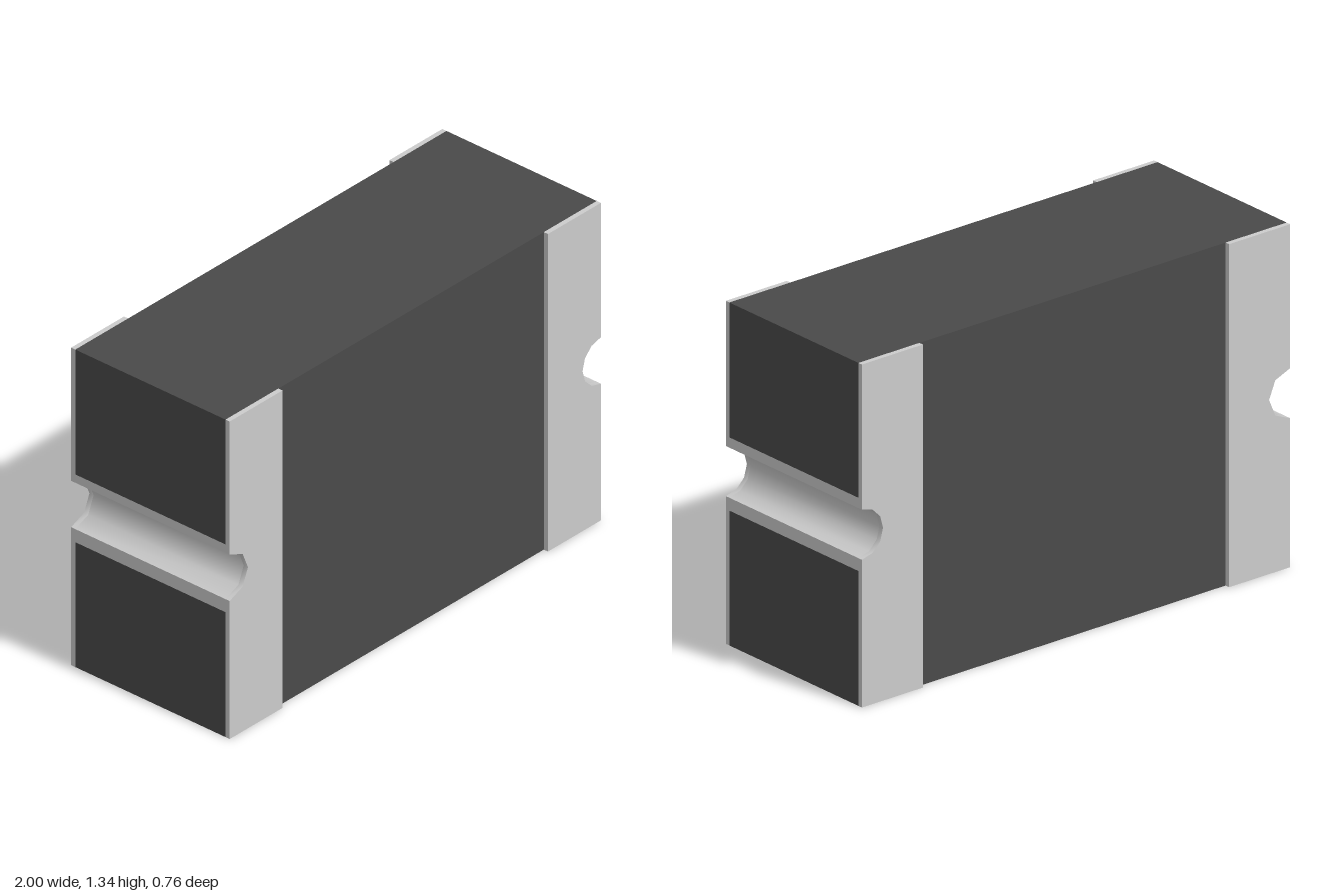
import * as THREE from 'three';
import { toCreasedNormals } from 'three/addons/utils/BufferGeometryUtils.js';

const H = 1.335, BODY_Z = 0.36, PAD_Z = 0.38;
const PAD_IN = 0.715, LINER_IN = 0.86;
const SLOT_LO = 0.525, SLOT_HI = 0.81;

const metal = new THREE.MeshStandardMaterial({ color: 0xcccccc });
const dark = new THREE.MeshStandardMaterial({ color: 0x4a4a4a });

// Extrudes an outline between two z values, smooth along the groove
function slab(name, points, z0, z1, material) {
  const shape = new THREE.Shape(points.map(([x, y]) => new THREE.Vector2(x, y)));
  const extruded = new THREE.ExtrudeGeometry(shape, { depth: z1 - z0, bevelEnabled: false });
  const geometry = toCreasedNormals(extruded.translate(0, 0, z0), 0.9);
  const mesh = new THREE.Mesh(geometry, material);
  mesh.name = name;
  return mesh;
}

// Rectangle whose outer edge (x = side) has a half-round notch
function notchedOutline(side, inner, y0, y1, centreY, segments) {
  const points = [[side * inner, y0], [side, y0]];
  for (let i = 0; i <= segments; i++) {
    const a = (i / segments) * Math.PI;
    points.push([side * (1 - 0.0985 * Math.sin(a)), centreY - 0.0975 * Math.cos(a)]);
  }
  points.push([side, y1], [side * inner, y1]);
  return points;
}

// End contact: front and back plates joined by the grooved liner
function terminal(name, side, centreY, segments) {
  const group = new THREE.Group();
  group.name = name;
  const plate = notchedOutline(side, PAD_IN, 0, H, centreY, segments);
  const liner = notchedOutline(side, LINER_IN, SLOT_LO, SLOT_HI, centreY, segments);
  group.add(
    slab('frontPlate', plate, BODY_Z, PAD_Z, metal),
    slab('backPlate', plate, -PAD_Z, -BODY_Z, metal),
    slab('grooveLiner', liner, -BODY_Z, BODY_Z, metal)
  );
  return group;
}

export function createModel() {
  const model = new THREE.Group();
  model.name = 'chipComponent';

  // Dark core with a slot at each end for the liners
  const core = [
    [-1, 0], [1, 0], [1, SLOT_LO], [LINER_IN, SLOT_LO], [LINER_IN, SLOT_HI], [1, SLOT_HI],
    [1, H], [-1, H], [-1, SLOT_HI], [-LINER_IN, SLOT_HI], [-LINER_IN, SLOT_LO], [-1, SLOT_LO],
  ];
  model.add(slab('body', core, -BODY_Z, BODY_Z, dark));

  model.add(terminal('leftTerminal', 1, 0.6725, 6));
  model.add(terminal('rightTerminal', -1, 0.6775, 4));
  return model;
}
